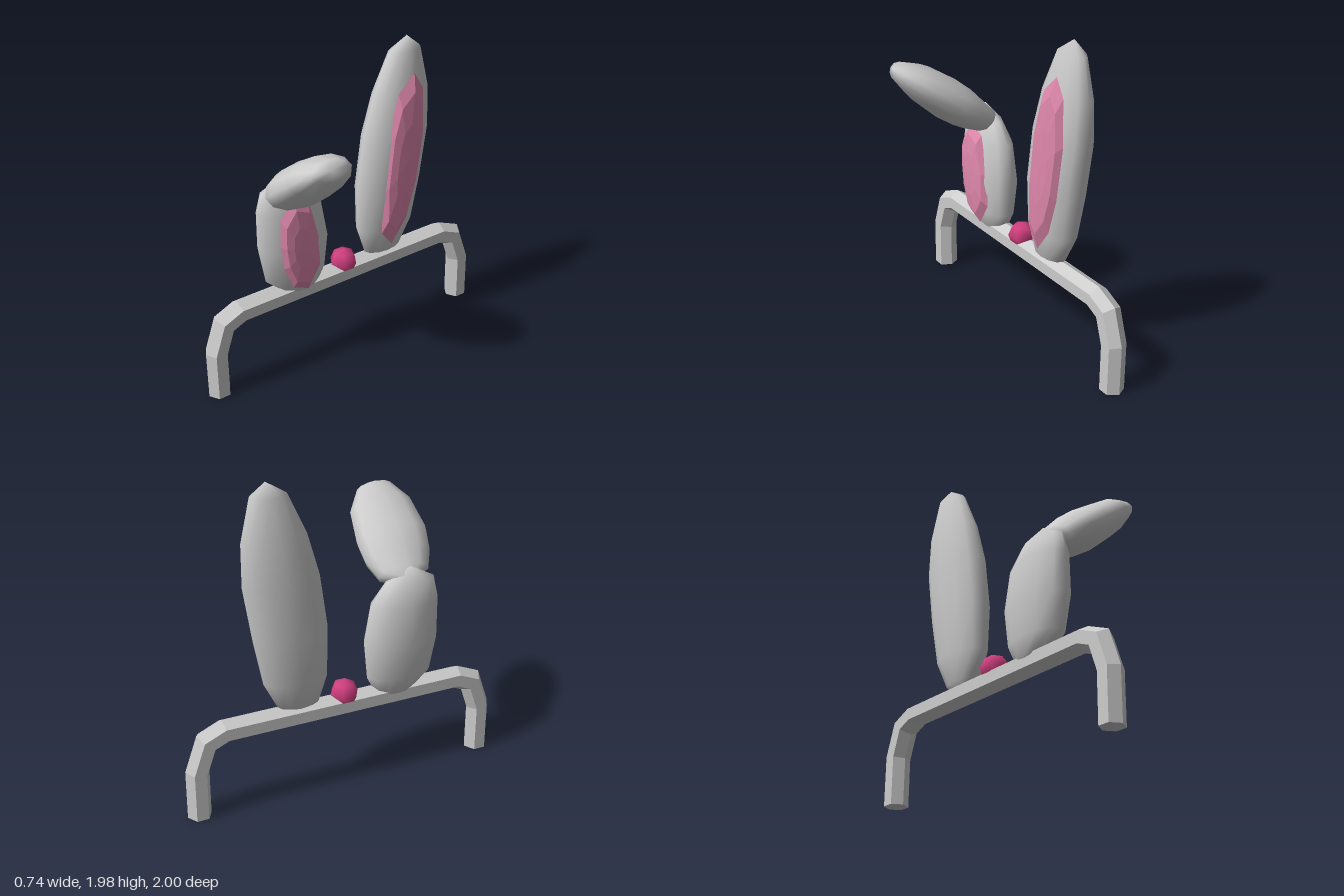
import * as THREE from 'three';

const grey = new THREE.MeshStandardMaterial({ name: 'soft grey', color: 0xcccccc });
const pink = new THREE.MeshStandardMaterial({ name: 'inner ear pink', color: 0xe088ac });
const rose = new THREE.MeshStandardMaterial({ name: 'deep rose', color: 0xd03f7f });
const V = (x, y, z) => new THREE.Vector3(x, y, z);
const CX = -0.24; // plane of the headband

// Skins a list of rings of equal length between a start pole and an end pole.
function loft(start, rings, end, flat = false) {
  const n = rings[0].length;
  const pts = [start, ...rings.flat(), end];
  const last = pts.length - 1;
  const idx = [];
  for (let j = 0; j < n; j++) {
    const k = (j + 1) % n;
    idx.push(0, 1 + k, 1 + j);
    for (let i = 0; i < rings.length - 1; i++) {
      const a = 1 + i * n, b = a + n;
      idx.push(a + j, a + k, b + k, a + j, b + k, b + j);
    }
    const a = 1 + (rings.length - 1) * n;
    idx.push(a + j, a + k, last);
  }
  // Turn the faces outward if the enclosed volume is negative
  let volume = 0;
  for (let i = 0; i < idx.length; i += 3) {
    volume += pts[idx[i]].dot(pts[idx[i + 1]].clone().cross(pts[idx[i + 2]]));
  }
  if (volume < 0) idx.reverse();
  let geo = new THREE.BufferGeometry().setFromPoints(pts);
  geo.setIndex(idx);
  if (flat) geo = geo.toNonIndexed();
  geo.computeVertexNormals();
  return geo;
}

// Ring of n points: centre + cos * u + sin * v
function ring(c, u, v, n) {
  return Array.from({ length: n }, (_, i) => {
    const a = (i / n) * Math.PI * 2;
    return c.clone().addScaledVector(u, Math.cos(a)).addScaledVector(v, Math.sin(a));
  });
}

// Upright ear from sections [y, zMin, zMax, half width in x]; poles are [z, y]
function ear(bottom, sections, top) {
  const rings = sections.map(([y, z0, z1, hx]) =>
    ring(V(CX, y, (z0 + z1) / 2), V(0, 0, (z1 - z0) / 2), V(hx, 0, 0), 12));
  return loft(V(CX, bottom[1], bottom[0]), rings, V(CX, top[1], top[0]));
}

// Shallow dome over an outline of [z, y] points, bulging towards +x
function innerEar(outline) {
  const c = outline.reduce((s, [z, y]) => s.add(V(0, y, z)), V(0, 0, 0)).divideScalar(outline.length);
  const at = (k, x) => outline.map(([z, y]) => V(x, c.y + (y - c.y) * k, c.z + (z - c.z) * k));
  return loft(V(-0.17, c.y, c.z), [at(1, -0.14), at(0.8, -0.108), at(0.45, -0.096)],
    V(-0.092, c.y, c.z), true);
}

export function createModel() {
  const group = new THREE.Group();
  const add = (name, geo, mat) => {
    const mesh = new THREE.Mesh(geo, mat);
    mesh.name = name;
    group.add(mesh);
    return mesh;
  };

  // Hexagonal headband bent into an arch, with mitred rings
  const half = [[0.9275, 0], [0.9275, 0.3], [0.865, 0.48], [0.755, 0.5275]];
  const path = [...half, ...half.map(([z, y]) => [-z, y]).reverse()].map(([z, y]) => V(CX, y, z));
  const bandRings = path.map((p, i) => {
    const before = p.clone().sub(path[Math.max(i - 1, 0)]).normalize();
    const after = path[Math.min(i + 1, path.length - 1)].clone().sub(p).normalize();
    const t = before.clone().add(after).normalize();
    const mitre = i > 0 && i < path.length - 1 ? 1 / t.dot(after) : 1;
    return ring(p, V(0, -t.z, t.y).multiplyScalar(0.0725 * mitre), V(0.0725, 0, 0), 6);
  });
  add('headband', loft(path[0], bandRings, path[path.length - 1], true), grey);

  // Tall straight ear
  add('tallEar', ear([-0.29, 0.55], [
    [0.6, -0.425, -0.165, 0.07], [0.77, -0.51, -0.11, 0.108], [1.06, -0.567, -0.107, 0.132],
    [1.39, -0.62, -0.155, 0.132], [1.65, -0.62, -0.23, 0.108], [1.9, -0.565, -0.345, 0.062],
  ], [-0.47, 1.98]), grey);
  add('tallInnerEar', innerEar([
    [-0.455, 1.78], [-0.52, 1.67], [-0.53, 1.385], [-0.48, 1.04], [-0.41, 0.81],
    [-0.3, 0.66], [-0.225, 0.76], [-0.225, 1.04], [-0.273, 1.44], [-0.34, 1.67],
  ]), pink);

  // Lower half of the folded ear
  add('foldedEarBase', ear([0.32, 0.503], [
    [0.55, 0.205, 0.45, 0.07], [0.66, 0.15, 0.565, 0.105], [0.88, 0.128, 0.604, 0.132],
    [1.12, 0.166, 0.606, 0.11], [1.25, 0.26, 0.575, 0.07],
  ], [0.42, 1.335]), grey);
  add('foldedInnerEar', innerEar([
    [0.42, 1.22], [0.31, 1.17], [0.246, 0.93], [0.24, 0.717], [0.326, 0.575],
    [0.433, 0.62], [0.492, 0.77], [0.513, 0.93], [0.508, 1.1],
  ]), pink);

  // Drooping tip: sections [distance along, offset, half thickness, z, half width]
  const along = V(0.853, 0.522, 0), across = V(-0.522, 0.853, 0);
  const tipPoint = (s, o, z) => V(-0.25, 1.26, z).addScaledVector(along, s).addScaledVector(across, o);
  const tipRings = [
    [0.005, -0.005, 0.045, 0.395, 0.08], [0.065, -0.035, 0.09, 0.41, 0.165],
    [0.19, -0.03, 0.121, 0.425, 0.215], [0.32, -0.02, 0.128, 0.44, 0.232],
    [0.53, 0, 0.11, 0.45, 0.205], [0.68, 0.008, 0.06, 0.465, 0.115],
  ].map(([s, o, h, z, w]) =>
    ring(tipPoint(s, o, z), V(0, 0, w), across.clone().multiplyScalar(h), 12));
  add('foldedEarTip', loft(tipPoint(-0.008, 0, 0.395), tipRings, tipPoint(0.725, 0.01, 0.485)), grey);

  // Faceted bead between the ears
  const bead = add('bead', new THREE.SphereGeometry(0.088, 6, 4), rose);
  bead.rotation.y = Math.PI / 2;
  bead.position.set(CX, 0.598, 0);

  return group;
}
